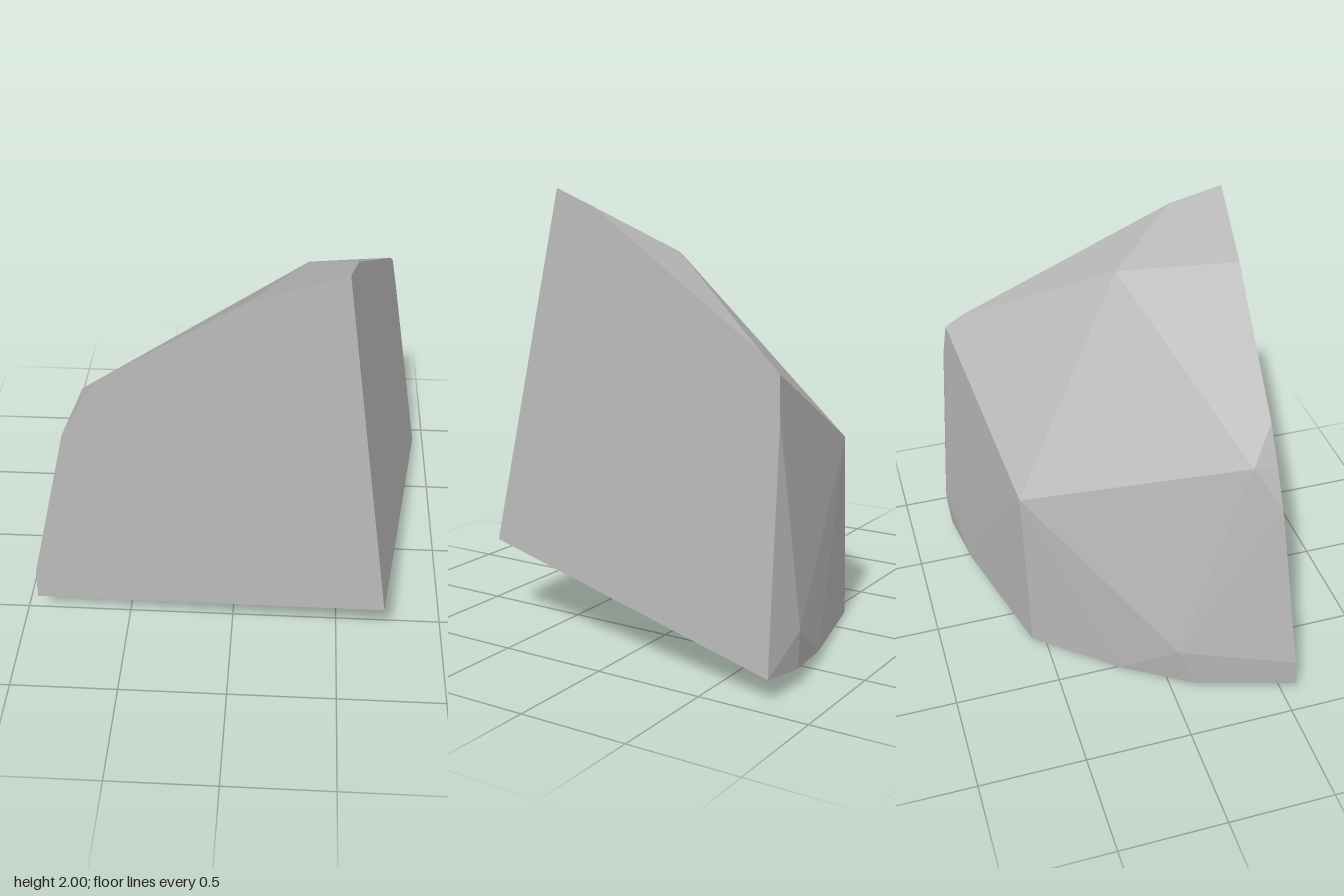
import * as THREE from 'three';
import { ConvexGeometry } from 'three/addons/geometries/ConvexGeometry.js';

// The three flat cut planes all pass through the corner (0.70, 0.38, 0.80)
const onFront = (x, y) => new THREE.Vector3(x, y, 0.8 + 0.1754 * (x - 0.7) - 0.1047 * (y - 0.38));
const onSide = (y, z) => new THREE.Vector3(0.7 - 0.1574 * (y - 0.38) - 0.1187 * (z - 0.8), y, z);
const onBase = (x, z) => new THREE.Vector3(x, 0.38 + 0.1315 * (x - 0.7) + 0.19 * (z - 0.8), z);

export function createModel() {
  const group = new THREE.Group();
  group.name = 'rockShard';

  const stone = new THREE.MeshStandardMaterial({ color: 0xb4b4b4 });
  stone.name = 'stone grey';

  // Corners where the cut planes meet
  const corners = [
    [0.7, 0.38, 0.8], [0.47, 2, 0.59], [-0.94, 0.115, 0.54], [0.93, 0.11, -0.78],
  ];

  // Rounded outline of each cut face
  const frontArc = [[-0.94, 0.26], [-0.76, 1.06], [-0.67, 1.225], [-0.56, 1.385], [0.06, 1.825]];
  const sideArc = [[1.92, 0.35], [1.365, -0.63], [1.3, -0.715], [1.13, -0.735], [0.4, -0.755]];
  const baseArc = [[-0.75, 0.1], [-0.53, -0.2], [-0.2, -0.56], [0.42, -0.74], [0.7, -0.79]];

  // Corners of the faceted outer dome
  const dome = [
    [-0.15, 0.868, -0.57], [0.71, 0.25, -0.805], [-0.72, 0.254, 0.03],
    [-0.67, 1.24, 0.36], [0.31, 1.723, 0.03],
  ];

  const points = [
    ...[...corners, ...dome].map((p) => new THREE.Vector3(...p)),
    ...frontArc.map((p) => onFront(...p)),
    ...sideArc.map((p) => onSide(...p)),
    ...baseArc.map((p) => onBase(...p)),
  ];

  const shard = new THREE.Mesh(new ConvexGeometry(points), stone);
  shard.name = 'shard';
  group.add(shard);
  return group;
}
